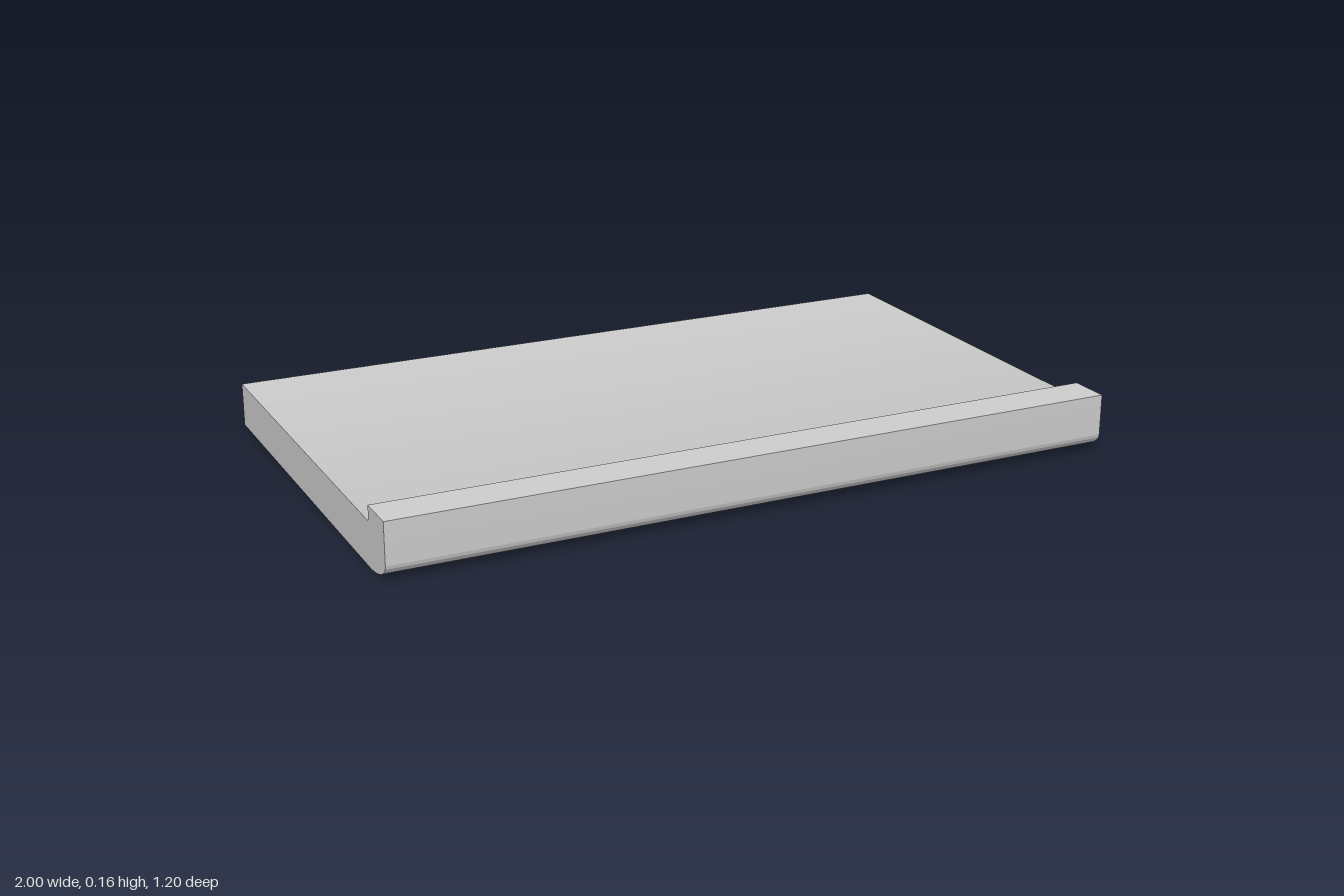
import * as THREE from 'three';
import { toCreasedNormals } from 'three/addons/utils/BufferGeometryUtils.js';

const WIDTH = 2;

export function createModel() {
  const group = new THREE.Group();
  group.name = 'slabWithLip';

  // Side profile: shape x runs along depth (front is +), shape y is up
  const profile = new THREE.Shape();
  profile.moveTo(-0.6, 0);
  profile.lineTo(0.48, 0);
  // rounded lower front edge
  profile.absellipse(0.48, 0.05, 0.12, 0.05, -Math.PI / 2, 0, false, 0);
  // raised front lip
  profile.lineTo(0.6, 0.16);
  profile.lineTo(0.488, 0.16);
  // small fillet down to the deck
  profile.lineTo(0.488, 0.124);
  profile.quadraticCurveTo(0.488, 0.119, 0.483, 0.119);
  profile.lineTo(-0.6, 0.119);
  profile.closePath();

  // Sweep the profile across the width
  const geometry = new THREE.ExtrudeGeometry(profile, {
    depth: WIDTH,
    bevelEnabled: false,
    curveSegments: 16,
  });
  geometry.translate(0, 0, -WIDTH / 2);
  geometry.rotateY(-Math.PI / 2);

  const slab = new THREE.Mesh(
    toCreasedNormals(geometry, Math.PI / 6),
    new THREE.MeshStandardMaterial({ color: 0xcccccc })
  );
  slab.name = 'slab';
  group.add(slab);
  return group;
}
